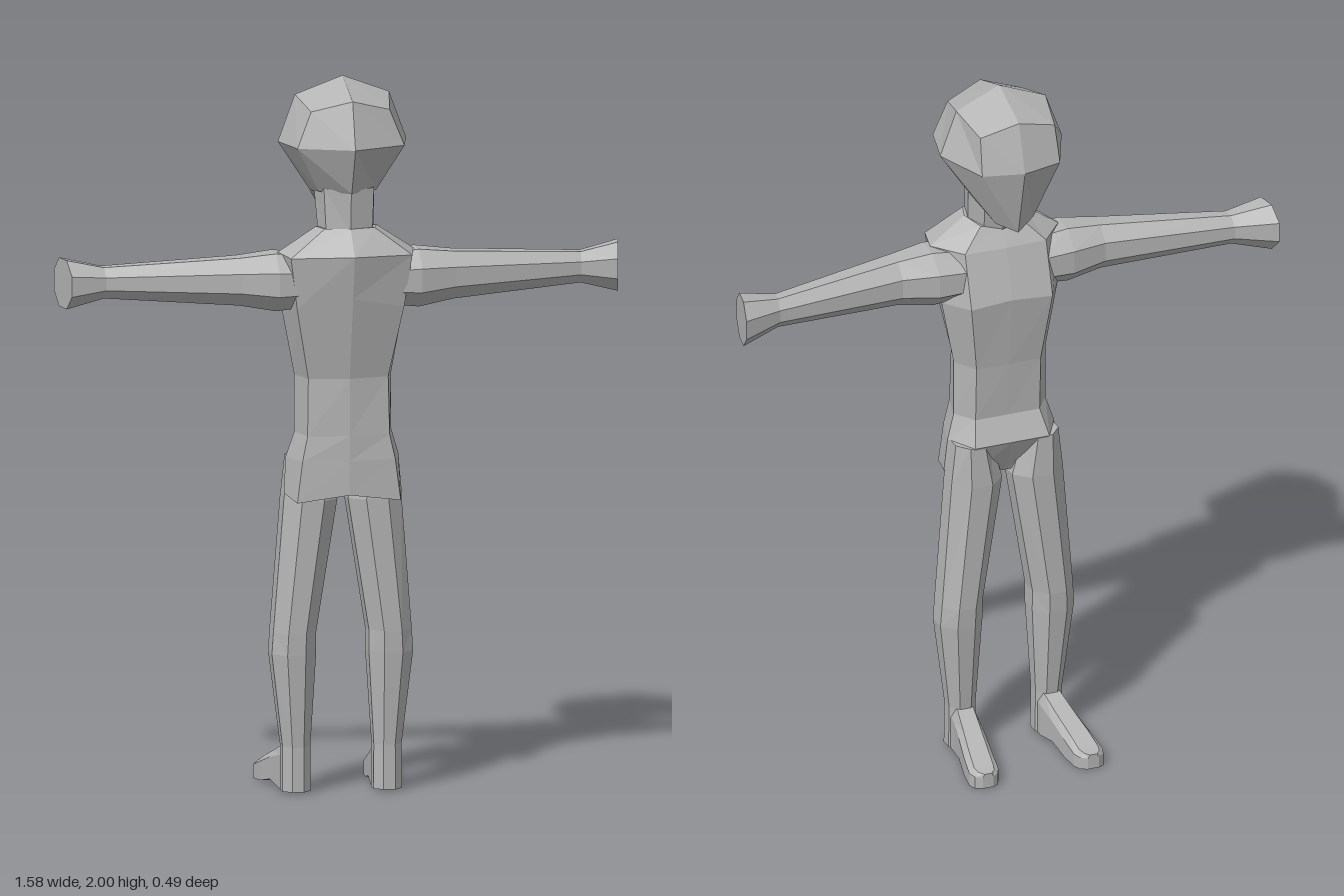
import * as THREE from 'three';

const skin = new THREE.MeshStandardMaterial({ color: 0xb4b4b4, flatShading: true });
skin.name = 'plain grey';

// Joins closed rings of equal point count, caps both ends and turns all faces outward
function loft(rings) {
  const tris = [];
  const n = rings[0].length;
  for (let i = 0; i < rings.length - 1; i++) {
    for (let j = 0; j < n; j++) {
      const k = (j + 1) % n;
      const a = rings[i][j], b = rings[i][k], c = rings[i + 1][k], d = rings[i + 1][j];
      tris.push([a, b, c], [a, c, d]);
    }
  }
  const cap = (ring, flip) => {
    const mid = [0, 1, 2].map((t) => ring.reduce((s, p) => s + p[t], 0) / n);
    ring.forEach((p, j) => {
      const q = ring[(j + 1) % n];
      tris.push(flip ? [mid, q, p] : [mid, p, q]);
    });
  };
  cap(rings[0], true);
  cap(rings[rings.length - 1], false);
  let volume = 0;
  for (const [a, b, c] of tris) {
    volume += a[0] * (b[1] * c[2] - b[2] * c[1]) + a[1] * (b[2] * c[0] - b[0] * c[2]) + a[2] * (b[0] * c[1] - b[1] * c[0]);
  }
  if (volume < 0) tris.forEach((t) => t.reverse());
  const geometry = new THREE.BufferGeometry();
  geometry.setAttribute('position', new THREE.Float32BufferAttribute(tris.flat(2), 3));
  geometry.computeVertexNormals();
  return geometry;
}

// Completes a half ring (front centre to back centre, on +x) by mirroring
const whole = (half) => [...half, ...half.slice(1, -1).reverse().map(([x, y, z]) => [-x, y, z])];

// Flat-sided octagon touching the given half sizes
function octagon(ru, rv, place) {
  return Array.from({ length: 8 }, (_, i) => {
    const a = ((i + 0.5) * Math.PI) / 4;
    const s = 1 / Math.cos(Math.PI / 8);
    return place(Math.cos(a) * ru * s, Math.sin(a) * rv * s);
  });
}

export function createModel() {
  const model = new THREE.Group();
  model.name = 'figure';
  const add = (name, rings) => {
    const mesh = new THREE.Mesh(loft(rings), skin);
    mesh.name = name;
    model.add(mesh);
  };
  const addPair = (name, rings) => {
    add('left ' + name, rings);
    add('right ' + name, rings.map((r) => r.map(([x, y, z]) => [-x, y, z])));
  };

  // Faceted head, chin pointing to -z
  add('head', [
    [[0, 1.67, 0.03], [0.06, 1.67, 0.04], [0.075, 1.68, 0.08], [0.065, 1.69, 0.13], [0, 1.69, 0.17]],
    [[0, 1.61, -0.078], [0.055, 1.635, -0.05], [0.088, 1.68, 0.04], [0.08, 1.69, 0.13], [0, 1.69, 0.19]],
    [[0, 1.815, -0.128], [0.115, 1.815, -0.1], [0.18, 1.82, 0.05], [0.15, 1.82, 0.18], [0, 1.82, 0.243]],
    [[0, 1.95, -0.084], [0.11, 1.92, -0.073], [0.132, 1.95, 0.05], [0.11, 1.92, 0.17], [0, 1.95, 0.203]],
    [[0, 2, 0.058], [0.001, 2, 0.058], [0.001, 2, 0.06], [0.001, 2, 0.062], [0, 2, 0.062]],
  ].map(whole));

  add('neck', [
    [[0, 1.56, 0.04], [0.05, 1.57, 0.05], [0.078, 1.58, 0.1], [0.065, 1.58, 0.155], [0, 1.58, 0.175]],
    [[0, 1.65, 0.0], [0.055, 1.68, 0.03], [0.085, 1.7, 0.08], [0.07, 1.7, 0.15], [0, 1.7, 0.185]],
  ].map(whole));

  add('torso', [
    [[0, 1.57, 0.042], [0.06, 1.58, 0.05], [0.085, 1.59, 0.11], [0.07, 1.59, 0.16], [0, 1.59, 0.175]],
    [[0, 1.52, 0.01], [0.12, 1.52, 0.015], [0.19, 1.52, 0.1], [0.17, 1.515, 0.19], [0, 1.52, 0.235]],
    [[0, 1.38, -0.035], [0.12, 1.37, -0.033], [0.172, 1.36, 0.06], [0.15, 1.37, 0.175], [0, 1.4, 0.21]],
    [[0, 1.17, -0.01], [0.095, 1.17, -0.007], [0.136, 1.17, 0.06], [0.112, 1.17, 0.14], [0, 1.17, 0.162]],
    [[0, 1.01, 0], [0.095, 1.01, 0], [0.136, 1.01, 0.06], [0.115, 1.01, 0.145], [0, 1.01, 0.162]],
    [[0, 0.94, -0.035], [0.11, 0.94, -0.035], [0.158, 0.94, 0.05], [0.13, 0.94, 0.15], [0, 0.94, 0.163]],
    [[0, 0.83, 0.02], [0.1, 0.84, 0.01], [0.165, 0.84, 0.06], [0.145, 0.825, 0.152], [0, 0.845, 0.165]],
  ].map(whole));

  // Arms: x, z slant, centre y and z, half height, half depth
  addPair('arm', [
    [0.1, 0, 1.44, 0.09, 0.07, 0.09],
    [0.2, 0, 1.44, 0.093, 0.08, 0.09],
    [0.3, 0, 1.443, 0.09, 0.066, 0.066],
    [0.67, -0.1, 1.442, 0.04, 0.043, 0.04],
    [0.778, -0.18, 1.44, 0.028, 0.068, 0.068],
  ].map(([x, slant, y, z, ry, rz]) => octagon(ry, rz, (u, v) => [x + v * slant, y + u, z + v])));

  // Legs: y, centre x and z, half width, half depth
  addPair('leg', [
    [0.94, 0.1, 0.03, 0.052, 0.062],
    [0.82, 0.09, 0.032, 0.075, 0.07],
    [0.45, 0.134, 0.03, 0.06, 0.07],
    [0.39, 0.136, 0.031, 0.062, 0.067],
    [0.13, 0.128, 0.034, 0.039, 0.043],
    [0.005, 0.128, 0.036, 0.04, 0.043],
  ].map(([y, x, z, rx, rz]) => octagon(rx, rz, (u, v) => [x + u, y, z + v])));

  // Feet: z, centre x, half width, sole height, top height
  addPair('foot', [
    [0.04, 0.128, 0.034, 0.005, 0.13],
    [-0.01, 0.129, 0.036, 0.004, 0.128],
    [-0.08, 0.138, 0.039, 0.018, 0.1],
    [-0.15, 0.148, 0.042, 0.003, 0.074],
    [-0.21, 0.155, 0.043, 0, 0.05],
    [-0.233, 0.156, 0.034, 0, 0.047],
    [-0.245, 0.156, 0.016, 0.002, 0.045],
  ].map(([z, x, w, lo, hi]) => {
    const side = lo + (hi - lo) * 0.75;
    return [[x - w, lo, z], [x + w, lo, z], [x + w, side, z], [x + w * 0.65, hi, z], [x - w * 0.65, hi, z], [x - w, side, z]];
  }));

  return model;
}
